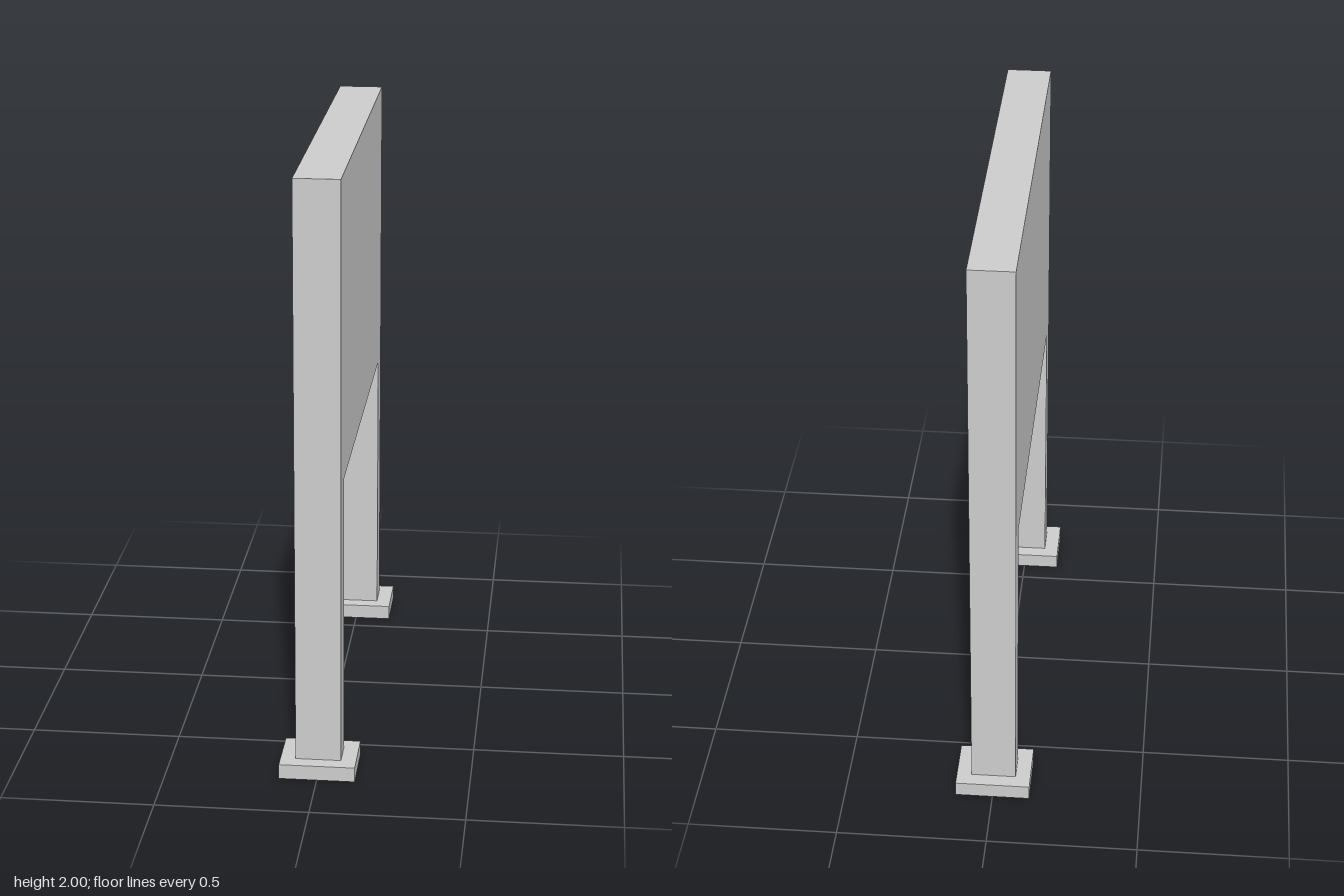
import * as THREE from 'three';

export function createModel() {
  const group = new THREE.Group();
  const material = new THREE.MeshStandardMaterial({ color: 0xcccccc, flatShading: true });

  const thickness = 0.15, height = 2, panelBottom = 1, footHeight = 0.05;
  const outer = 0.725, inner = 0.625; // leg faces, measured from the centre

  // Panel and its two legs: one upside-down U, extruded across x
  const outline = new THREE.Shape([
    [-outer, footHeight], [-inner, footHeight], [-inner, panelBottom], [inner, panelBottom],
    [inner, footHeight], [outer, footHeight], [outer, height], [-outer, height],
  ].map(([z, y]) => new THREE.Vector2(z, y)));
  const boardGeometry = new THREE.ExtrudeGeometry(outline, { depth: thickness, bevelEnabled: false });
  boardGeometry.translate(0, 0, -thickness / 2).rotateY(Math.PI / 2);
  const board = new THREE.Mesh(boardGeometry, material);
  board.name = 'panelWithLegs';
  group.add(board);

  // Foot plate under each leg
  const footGeometry = new THREE.BoxGeometry(0.25, footHeight, 0.2);
  for (const side of [1, -1]) {
    const foot = new THREE.Mesh(footGeometry, material);
    foot.name = side > 0 ? 'frontFoot' : 'backFoot';
    foot.position.set(0, footHeight / 2, side * (outer + inner) / 2);
    group.add(foot);
  }

  return group;
}
